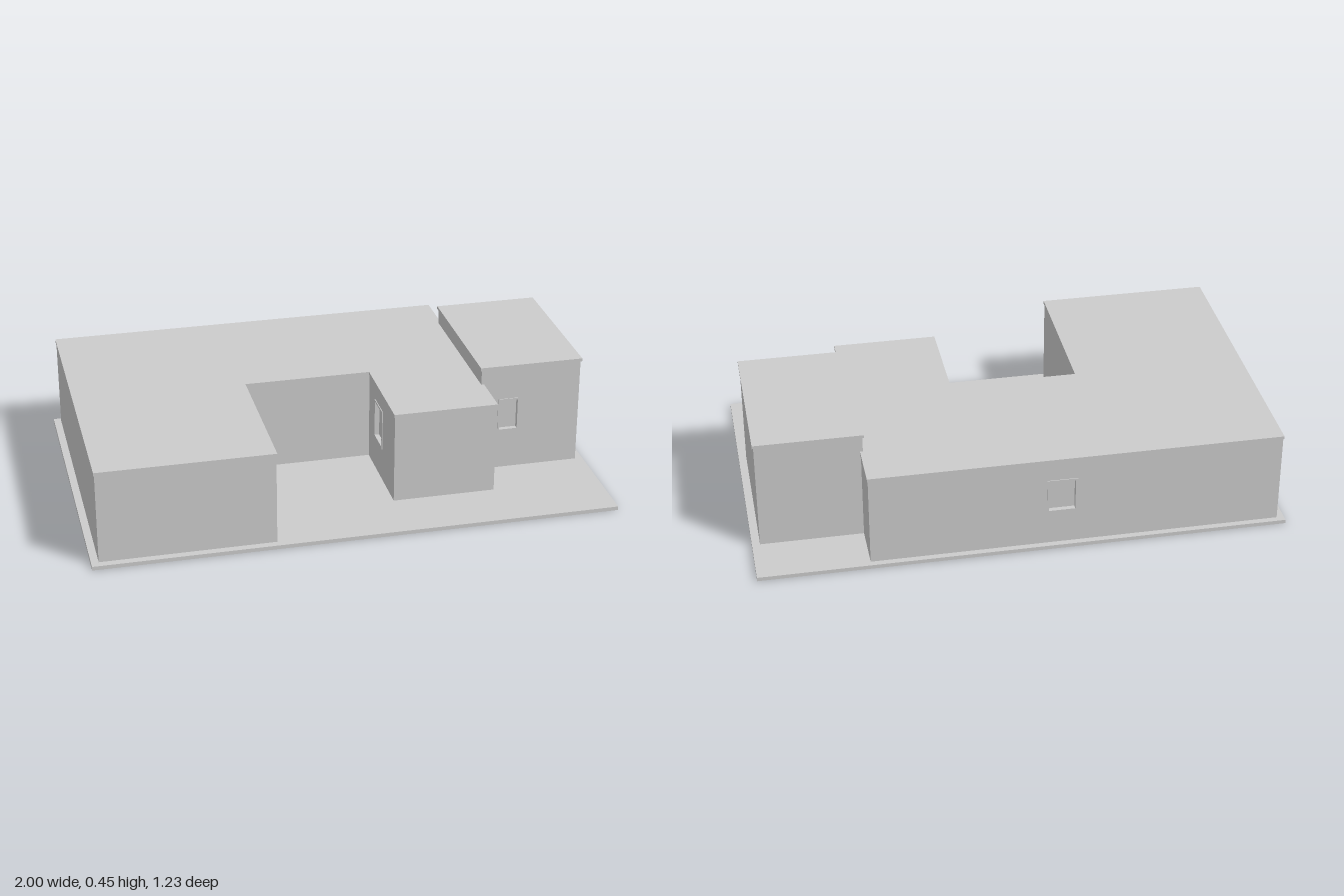
import * as THREE from 'three';

const grey = new THREE.MeshStandardMaterial({ color: 0xcccccc });
grey.name = 'plain grey';
const FLOOR = 0.015, ROOF = 0.012, WALL = 0.025;

function add(parent, name, geometry) {
  const mesh = new THREE.Mesh(geometry, grey);
  mesh.name = name;
  parent.add(mesh);
  return mesh;
}

function rectangle(Type, x0, y0, x1, y1) {
  const r = new Type();
  r.moveTo(x0, y0);
  r.lineTo(x1, y0);
  r.lineTo(x1, y1);
  r.lineTo(x0, y1);
  r.closePath();
  return r;
}

const extrude = (shape, depth) => new THREE.ExtrudeGeometry(shape, { depth, bevelEnabled: false });

// Wall from a to b, outer face on the right of the direction of travel seen in (x, z);
// win = [start, sill, end, head] along the wall
function wall(parent, a, b, height, win) {
  const length = Math.hypot(b[0] - a[0], b[1] - a[1]);
  const side = new THREE.Group();
  side.name = 'wallSide';
  side.position.set(a[0], FLOOR, a[1]);
  side.rotation.y = Math.atan2(-(b[1] - a[1]), b[0] - a[0]);
  parent.add(side);

  const panel = rectangle(THREE.Shape, 0, 0, length, height - FLOOR);
  if (win) {
    const [x0, s, x1, h] = win;
    const y0 = s - FLOOR, y1 = h - FLOOR, t = 0.008;
    panel.holes.push(rectangle(THREE.Path, x0, y0, x1, y1));
    // Slightly proud frame with a pane set back behind it
    const rim = rectangle(THREE.Shape, x0, y0, x1, y1);
    rim.holes.push(rectangle(THREE.Path, x0 + t, y0 + t, x1 - t, y1 - t));
    add(side, 'windowFrame', extrude(rim, 0.023)).position.z = -0.02;
    const pane = add(side, 'windowPane', new THREE.BoxGeometry(x1 - x0, y1 - y0, 0.005));
    pane.position.set((x0 + x1) / 2, (y0 + y1) / 2, -0.018);
  }
  add(side, 'wall', extrude(panel, WALL)).position.z = -WALL;
}

// Closed block: walls around a footprint, plus a thin overhanging roof
function block(name, outline, roofOutline, height, windows) {
  const g = new THREE.Group();
  g.name = name;
  outline.forEach((p, i) => {
    wall(g, p, outline[(i + 1) % outline.length], height - ROOF, windows[i]);
  });
  const roofShape = new THREE.Shape(roofOutline.map(([x, z]) => new THREE.Vector2(x, -z)));
  const roof = add(g, 'roof', extrude(roofShape, ROOF));
  roof.rotation.x = -Math.PI / 2;
  roof.position.y = height - ROOF;
  return g;
}

export function createModel() {
  const model = new THREE.Group();
  model.name = 'house';

  // Ground slab
  add(model, 'groundSlab', new THREE.BoxGeometry(2, FLOOR, 1.226)).position.y = FLOOR / 2;

  // U-shaped main building around a courtyard; o is the roof overhang
  const mainOutline = (o) => [
    [-0.972 - o, 0.585 + o], [-0.313 + o, 0.585 + o], [-0.313 + o, -0.012 + o], [0.183 - o, -0.012 + o],
    [0.183 - o, 0.377 + o], [0.58 + o, 0.377 + o], [0.58 + o, -0.59 - o], [-0.972 - o, -0.59 - o],
  ];
  model.add(block('mainBuilding', mainOutline(0), mainOutline(0.003), 0.38, {
    3: [0.09, 0.145, 0.21, 0.305],
    6: [0.66, 0.15, 0.775, 0.29],
  }));

  // Taller block on the left
  const towerOutline = (o) => [
    [0.572 - o, 0.201 + o], [0.97 + o, 0.201 + o], [0.97 + o, -0.405 - o], [0.572 - o, -0.405 - o],
  ];
  model.add(block('tallBlock', towerOutline(0), towerOutline(0.005), 0.452, {
    0: [0.07, 0.172, 0.157, 0.31],
  }));

  return model;
}
